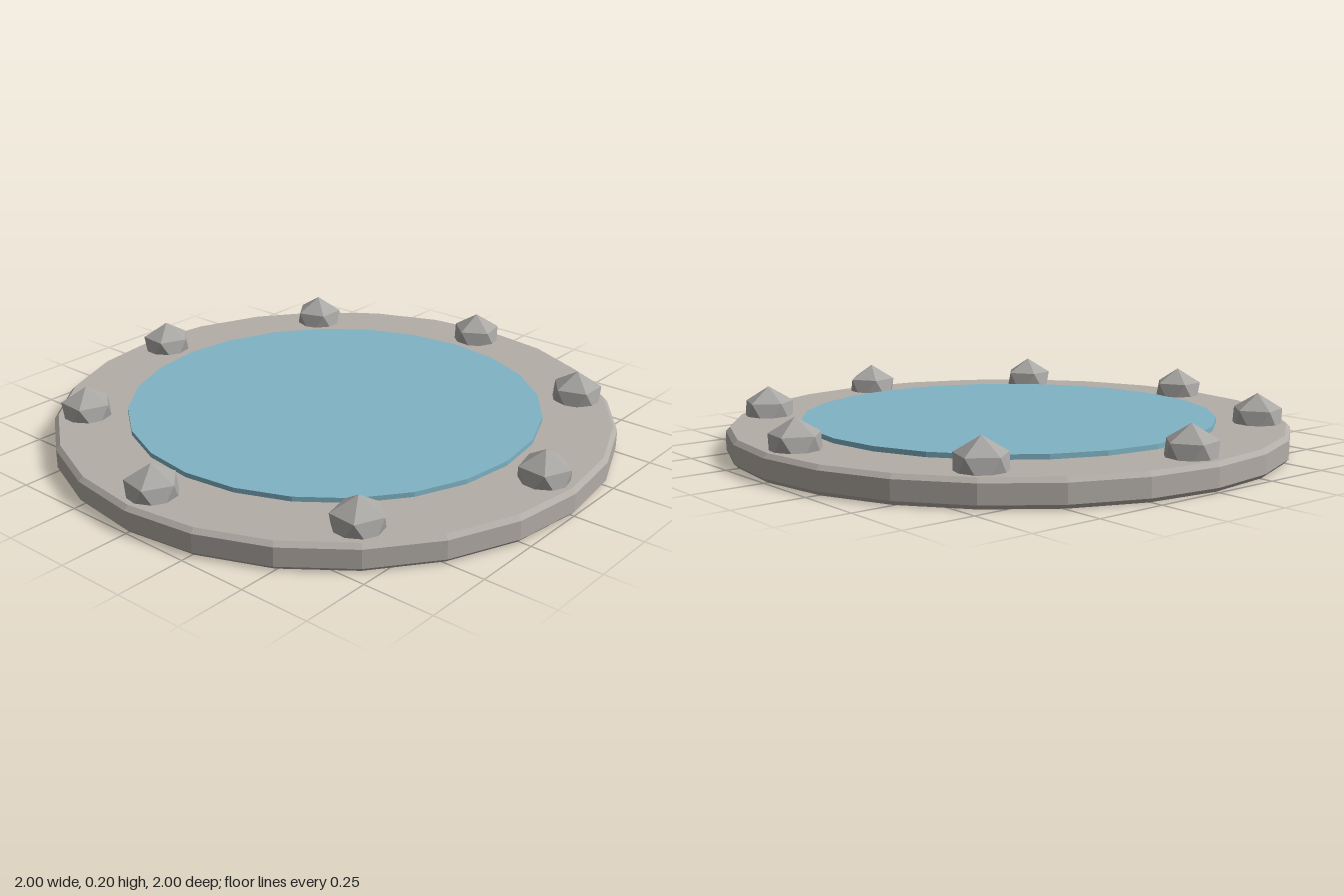
import * as THREE from 'three';

const SIDES = 24;

export function createModel() {
  const pond = new THREE.Group();
  pond.name = 'pond';

  const material = (name, color) => {
    const m = new THREE.MeshStandardMaterial({ color, flatShading: true });
    m.name = name;
    return m;
  };
  const rimStone = material('rimStone', 0xb3ada7);
  const rockGrey = material('rockGrey', 0xaaa8a5);
  const waterBlue = material('waterBlue', 0x80b3c4);

  const add = (name, geometry, mat) => {
    const mesh = new THREE.Mesh(geometry, mat);
    mesh.name = name;
    pond.add(mesh);
    return mesh;
  };

  // Round stone base with small chamfers at top and bottom
  const profile = [[0, 0], [0.985, 0], [1, 0.015], [1, 0.08], [0.985, 0.095], [0, 0.095]]
    .map(([r, y]) => new THREE.Vector2(r, y));
  add('stoneRim', new THREE.LatheGeometry(profile, SIDES), rimStone);

  // Water disc standing slightly proud of the stone
  const water = add('water', new THREE.CylinderGeometry(0.74, 0.74, 0.03, SIDES), waterBlue);
  water.position.y = 0.097;

  // Faceted rocks, each with one corner pointing up, sunk halfway into the rim
  const rockShape = new THREE.IcosahedronGeometry(0.1, 0);
  rockShape.rotateZ(Math.atan(2 / (1 + Math.sqrt(5))));
  // Bring one corner of the upper ring onto +x, so that turns are measured from there
  const p = rockShape.attributes.position;
  for (let i = 0; i < p.count; i++) {
    if (p.getY(i) > 0.03 && p.getY(i) < 0.06) {
      rockShape.rotateY(Math.atan2(p.getZ(i), p.getX(i)));
      break;
    }
  }
  const turns = [42, 54, 5, 5, 10, 3, 5, 54]; // degrees, starting at +x towards +z
  turns.forEach((turn, i) => {
    const a = (i * Math.PI) / 4;
    const rock = add('rock' + (i + 1), rockShape, rockGrey);
    rock.position.set(0.882 * Math.cos(a), 0.1, 0.882 * Math.sin(a));
    rock.rotation.y = -THREE.MathUtils.degToRad(turn);
  });

  return pond;
}
